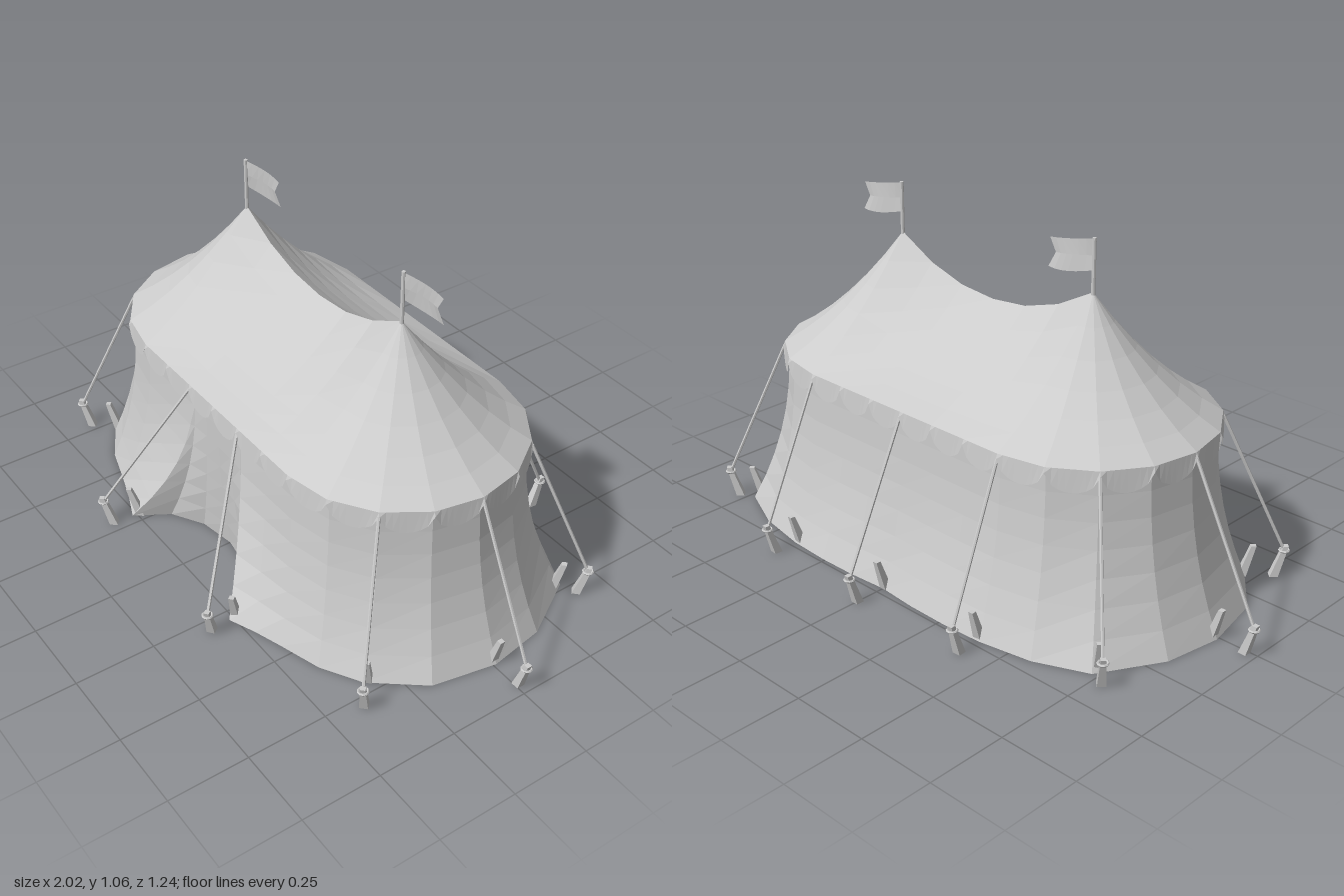
import * as THREE from 'three';

const material = new THREE.MeshStandardMaterial({ color: 0xcccccc, flatShading: true, side: THREE.DoubleSide });
const EAVE = 0.545, R = 0.38, PEAK_X = 0.385, ZC = -0.01;
const V = (x, y, z) => new THREE.Vector3(x, y, z);

function mesh(name, geometry) {
  const m = new THREE.Mesh(geometry, material);
  m.name = name;
  return m;
}

// Skin between rows of points; each row is an array of Vector3
function loft(rows) {
  const pos = [], index = [], n = rows[0].length;
  rows.forEach(row => row.forEach(p => pos.push(p.x, p.y, p.z)));
  for (let r = 0; r < rows.length - 1; r++) {
    for (let c = 0; c < n - 1; c++) {
      const a = r * n + c, b = a + 1, d = a + n, e = d + 1;
      index.push(a, b, e);
      if (!rows[r + 1][c].equals(rows[r + 1][c + 1])) index.push(a, e, d);
    }
  }
  const g = new THREE.BufferGeometry();
  g.setAttribute('position', new THREE.Float32BufferAttribute(pos, 3));
  g.setIndex(index);
  g.computeVertexNormals();
  return g;
}

// Mirror a half outline (front centre to back centre) into a closed loop
const closeLoop = half => [...half, ...half.slice(0, -1).reverse().map(p => V(-p.x, p.y, p.z))];

// Stadium outline; each segment is one scallop wide
function eaveHalf(radius) {
  const pts = [];
  for (let i = 0; i < 3; i++) pts.push(V(PEAK_X * i / 3, EAVE, ZC + radius));
  for (let i = 0; i <= 8; i++) {
    const a = Math.PI * i / 8;
    pts.push(V(PEAK_X + Math.sin(a) * radius, EAVE, ZC + Math.cos(a) * radius));
  }
  for (let i = 2; i >= 0; i--) pts.push(V(PEAK_X * i / 3, EAVE, ZC - radius));
  return pts;
}

// Concave roof rising to a sagging ridge between two peaks
function roof() {
  const eave = closeLoop(eaveHalf(R)), rows = [];
  for (let i = 0; i <= 6; i++) {
    const t = 1 - i / 6;
    rows.push(eave.map(p => {
      const x = THREE.MathUtils.clamp(p.x, -PEAK_X, PEAK_X);
      const ridge = 0.785 + 0.12 * Math.pow(Math.abs(x) / PEAK_X, 2.1);
      return V(x + (p.x - x) * t, EAVE + (ridge - EAVE) * (1 - t) * (1 - 0.42 * t), ZC + (p.z - ZC) * t);
    }));
  }
  return loft(rows);
}

// Scalloped edging hanging from the eave
function valance() {
  const eave = closeLoop(eaveHalf(R)), low = closeLoop(eaveHalf(R + 0.006)), top = [], bottom = [];
  for (let s = 0; s < eave.length - 1; s++) {
    for (let k = s ? 1 : 0; k <= 8; k++) {
      top.push(eave[s].clone().lerp(eave[s + 1], k / 8));
      const b = low[s].clone().lerp(low[s + 1], k / 8);
      b.y -= 0.015 + 0.053 * Math.sqrt(Math.max(0, Math.sin(Math.PI * k / 8)));
      bottom.push(b);
    }
  }
  return loft([bottom, top]);
}

// Ground outline from front centre round to back centre: recessed doorway, flap, flared skirt
const GROUND = [[0, 0.33], [0.12, 0.35], [0.22, 0.41], [0.285, 0.515], [0.37, 0.48], [0.46, 0.45], [0.59, 0.41],
  [0.71, 0.34], [0.83, 0.19], [0.87, -0.01], [0.84, -0.19], [0.73, -0.38], [0.57, -0.45], [0.4, -0.48],
  [0.26, -0.487], [0.13, -0.485], [0, -0.475]].map(([x, z]) => V(x, 0, z));

// Canvas wall that bells out towards the ground
function wall() {
  const e = eaveHalf(R - 0.012);
  const door = [0, 0.06, 0.12, 0.13].map(x => V(x, EAVE, e[0].z));
  const top = closeLoop([...door, ...e.slice(2)]), base = closeLoop(GROUND), rows = [];
  for (let i = 0; i <= 7; i++) {
    const s = 1 - i / 7;
    rows.push(top.map((p, c) => {
      const q = p.clone().lerp(base[c], Math.pow(s, 2.2));
      q.y = EAVE * (1 - s);
      return q;
    }));
  }
  return loft(rows);
}

function floor() {
  const outline = closeLoop(GROUND).slice(0, -1).map(p => new THREE.Vector2(p.x, -p.z));
  return new THREE.ShapeGeometry(new THREE.Shape(outline)).rotateX(-Math.PI / 2);
}

// Straight rod between two points
function rod(name, a, b, r0, r1, sides) {
  const m = mesh(name, new THREE.CylinderGeometry(r1, r0, a.distanceTo(b), sides));
  m.position.copy(a).lerp(b, 0.5);
  m.quaternion.setFromUnitVectors(V(0, 1, 0), b.clone().sub(a).normalize());
  return m;
}

// Stake leaning outwards, with a small head
function stake(x, z, dir) {
  const g = new THREE.Group();
  g.name = 'stake';
  const body = mesh('stakeBody', new THREE.CylinderGeometry(0.011, 0.018, 0.1, 4).rotateY(Math.PI / 4));
  body.position.y = 0.05;
  const pos = body.geometry.attributes.position;
  for (let i = 0; i < pos.count; i++) pos.setZ(i, pos.getZ(i) + pos.getY(i) * 0.32);
  g.add(body);
  g.position.set(x, 0, z);
  g.rotation.y = Math.atan2(dir.x, dir.z);
  return g;
}

// Swallow-tailed flag, gently waved
function flag() {
  const top = [], bottom = [], mid = [];
  for (let i = 0; i <= 6; i++) {
    const u = i / 6, z = -0.026 * Math.sin(u * 1.9);
    top.push(V(0.14 * u, 1.06 - 0.02 * u, z));
    mid.push(V(0.118 * u, 1.012 - 0.012 * u, z));
    bottom.push(V(0.14 * u, 0.97 - 0.016 * Math.sin(u * 2), z - 0.006));
  }
  return loft([bottom, mid, top]);
}

export function createModel() {
  const tent = new THREE.Group();
  tent.name = 'tent';
  tent.add(mesh('roof', roof()), mesh('valance', valance()), mesh('wall', wall()), mesh('floor', floor()));

  for (const side of [-1, 1]) {
    const x = side * PEAK_X;
    tent.add(rod('flagPole', V(x, 0.88, ZC), V(x, 1.063, ZC), 0.006, 0.006, 8));
    const f = mesh('flag', flag());
    f.position.set(x, 0, ZC);
    tent.add(f);
  }

  // Guy lines: [eave x, eave z, outer stake x, z, inner stake x, z]
  const lines = [
    [0.13, 0.37, 0.3, 0.59, 0.29, 0.5], [0.655, 0.26, 0.79, 0.4, 0.72, 0.335], [0.765, -0.01, 0.978, -0.01, 0.865, -0.01],
    [0.655, -0.28, 0.79, -0.41, 0.735, -0.36], [0.385, -0.39, 0.4, -0.57, 0.39, -0.48], [0, -0.39, 0, -0.59, 0, -0.48]];
  for (const [ex, ez, ox, oz, ix, iz] of lines) {
    for (const s of ox ? [-1, 1] : [1]) {
      const dir = V(s * (ox - ex), 0, oz - ez).normalize();
      const end = V(s * ox, 0.085, oz).addScaledVector(dir, 0.012);
      tent.add(rod('guyLine', V(s * ex, 0.53, ez), end, 0.005, 0.005, 6));
      tent.add(stake(s * ox, oz, dir), stake(s * ix, iz, dir));
      const loop = mesh('ropeLoop', new THREE.TorusGeometry(0.014, 0.004, 5, 10).rotateX(Math.PI / 2));
      loop.position.copy(end);
      tent.add(loop);
    }
  }
  return tent;
}
